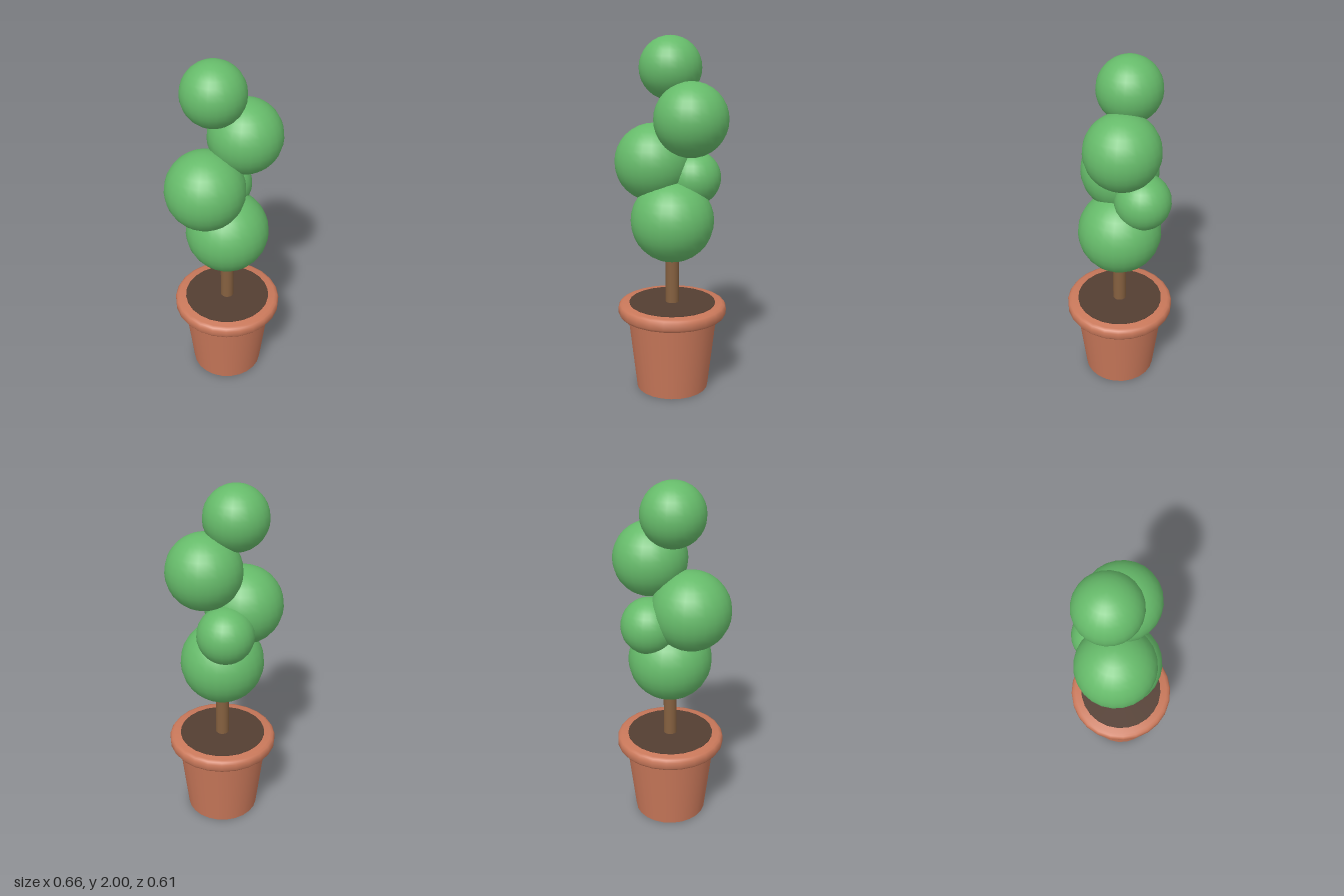
import * as THREE from 'three';
import { toCreasedNormals } from 'three/addons/utils/BufferGeometryUtils.js';

const material = (name, color) => {
  const m = new THREE.MeshStandardMaterial({ color });
  m.name = name;
  return m;
};

export function createModel() {
  const leafGreen = material('leafGreen', 0x66bb6a);
  const terracotta = material('terracotta', 0xc9785a);
  const bark = material('bark', 0x85603f);
  const earth = material('earth', 0x543e32);

  const tree = new THREE.Group();
  tree.name = 'pottedTopiary';
  const sides = 24;
  const centreX = 0.0125;

  const add = (parent, name, geometry, mat, x, y, z) => {
    const mesh = new THREE.Mesh(geometry, mat);
    mesh.name = name;
    mesh.position.set(x, y, z);
    parent.add(mesh);
    return mesh;
  };

  // Tapered pot
  const potBody = new THREE.CylinderGeometry(0.258, 0.207, 0.45, sides);
  add(tree, 'potBody', potBody, terracotta, centreX, 0.225, 0);

  // Rounded rim, closed across the top
  const rimProfile = [
    [0, 0.435], [0.285, 0.435], [0.3, 0.441], [0.309, 0.455],
    [0.309, 0.49], [0.3, 0.504], [0.285, 0.51], [0, 0.51],
  ].map(([r, y]) => new THREE.Vector2(r, y));
  const rimGeometry = toCreasedNormals(new THREE.LatheGeometry(rimProfile, sides), 0.8);
  const rim = add(tree, 'potRim', rimGeometry, terracotta, centreX, 0, 0);
  rim.rotation.y = Math.PI / sides;

  // Thin layer of soil
  add(tree, 'soil', new THREE.CylinderGeometry(0.247, 0.247, 0.004, sides), earth, centreX, 0.511, 0);

  // Trunk, ending inside the lowest ball
  add(tree, 'trunk', new THREE.CylinderGeometry(0.038, 0.038, 0.5, 16), bark, centreX, 0.75, 0);

  // Clipped leaf balls: x, y, z, radius
  const foliage = new THREE.Group();
  foliage.name = 'foliage';
  tree.add(foliage);
  const balls = {
    lowestBall: [centreX, 0.99, 0, 0.234],
    smallBackBall: [0.107, 1.222, -0.096, 0.156],
    rightBall: [-0.113, 1.308, -0.05, 0.219],
    leftBall: [0.126, 1.56, 0.03, 0.204],
    topBall: [-0.018, 1.827, -0.065, 0.173],
  };
  for (const [name, [x, y, z, r]] of Object.entries(balls)) {
    add(foliage, name, new THREE.SphereGeometry(r, 24, 16), leafGreen, x, y, z);
  }

  return tree;
}
